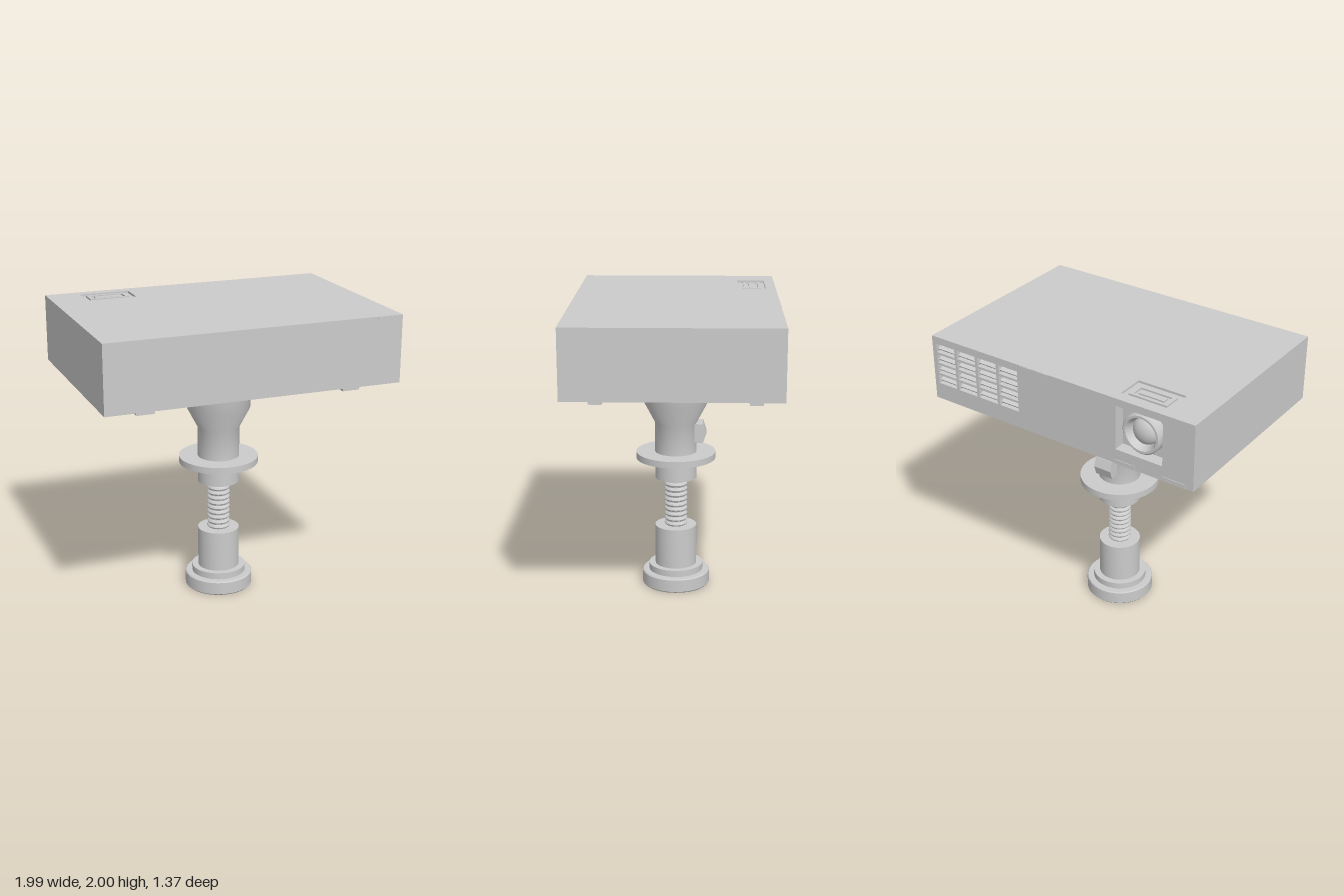
import * as THREE from 'three';
import { toCreasedNormals } from 'three/addons/utils/BufferGeometryUtils.js';

const grey = new THREE.MeshStandardMaterial({ color: 0xcccccc });

function add(parent, name, geometry, x = 0, y = 0, z = 0) {
  const mesh = new THREE.Mesh(geometry, grey);
  mesh.name = name;
  mesh.position.set(x, y, z);
  parent.add(mesh);
  return mesh;
}

// Box given by its limits on each axis
function block(parent, name, [x0, x1], [y0, y1], [z0, z1]) {
  return add(parent, name, new THREE.BoxGeometry(x1 - x0, y1 - y0, z1 - z0),
    (x0 + x1) / 2, (y0 + y1) / 2, (z0 + z1) / 2);
}

function turned(points, segments = 48) {
  const profile = points.map(([r, y]) => new THREE.Vector2(r, y));
  return toCreasedNormals(new THREE.LatheGeometry(profile, segments), 0.5);
}

function rect(Type, x0, x1, y0, y1) {
  const p = new Type();
  p.moveTo(x0, y0);
  p.lineTo(x1, y0);
  p.lineTo(x1, y1);
  p.lineTo(x0, y1);
  p.closePath();
  return p;
}

// Flat plate with rectangular openings, extruded along +z
function plate(outer, holes, depth) {
  const shape = rect(THREE.Shape, ...outer);
  holes.forEach((h) => shape.holes.push(rect(THREE.Path, ...h)));
  return new THREE.ExtrudeGeometry(shape, { depth, bevelEnabled: false });
}

const W = 0.993, D = 0.68, BOTTOM = 1.55, TOP = 2, SKIN = 0.015, RECESS = 0.08;

function createBody() {
  const body = new THREE.Group();
  body.name = 'projectorBody';
  block(body, 'bodyCore', [-W, W], [BOTTOM, TOP - SKIN], [-D + RECESS, D]);

  // Vent openings: four columns by four rows
  const vents = [];
  for (let c = 0; c < 4; c++) {
    for (let r = 0; r < 4; r++) {
      const x = 0.3 + c * 0.17, y = 1.665 + r * 0.075;
      vents.push([x, x + 0.15, y, y + 0.06]);
    }
  }
  const lensOpening = [-0.775, -0.44, 1.65, 1.95];
  add(body, 'backPanel', plate([-W, W, BOTTOM, TOP - SKIN], [lensOpening, ...vents], RECESS), 0, 0, -D);

  // Sloping louvres inside the vents
  for (const [x0, x1, y0, y1] of vents) {
    const louvre = block(body, 'ventLouvre', [x0, x1], [(y0 + y1) / 2 - 0.005, (y0 + y1) / 2 + 0.005], [-D + 0.012, -D + 0.07]);
    louvre.rotation.x = -0.5;
    block(body, 'ventBacking', [x0, x1], [y0, y1], [-D + 0.05, -D + 0.06]);
  }

  // Top skin with the recessed control panel
  const skin = plate([-W, W, -D, D], [[-0.77, -0.43, 0.42, 0.61]], SKIN);
  skin.rotateX(-Math.PI / 2);
  add(body, 'topPanel', skin, 0, TOP - SKIN, 0);
  const controlFrame = plate([-0.735, -0.465, 0.46, 0.58], [[-0.71, -0.49, 0.48, 0.56]], 0.012);
  controlFrame.rotateX(-Math.PI / 2);
  add(body, 'controlFrame', controlFrame, 0, TOP - SKIN, 0);
  block(body, 'controlSlider', [-0.69, -0.51], [TOP - SKIN, TOP - 0.005], [-0.54, -0.5]);

  // Small windows and trim strips
  block(body, 'sensorWindow', [-0.58, -0.44], [1.55, 1.58], [-D - 0.004, -D]);
  block(body, 'sensorWindow', [-0.94, -0.78], [1.55, 1.58], [-D - 0.004, -D]);
  block(body, 'backTrim', [0.06, 0.28], [1.985, 1.998], [-D - 0.003, -D]);
  block(body, 'frontTrim', [0.82, 0.9], [1.985, 1.998], [D, D + 0.003]);

  // Feet
  for (const x of [-0.685, 0.725]) {
    for (const z of [-0.515, 0.48]) {
      block(body, 'foot', [x - 0.06, x + 0.06], [1.48, BOTTOM], [z - 0.043, z + 0.043]);
    }
  }

  // Lens barrel and domed glass, facing the back
  const lens = new THREE.Group();
  lens.name = 'lens';
  add(lens, 'lensBarrel', turned([[0.135, 0], [0.135, 0.055], [0.125, 0.065], [0.11, 0.065], [0.092, 0.03], [0.092, 0]]));
  add(lens, 'lensGlass', new THREE.SphereGeometry(0.09, 32, 10, 0, Math.PI * 2, 0, Math.PI / 2)).scale.y = 0.65;
  lens.rotation.x = -Math.PI / 2;
  lens.position.set(-0.61, 1.8, -D + RECESS);
  body.add(lens);
  return body;
}

function createStand() {
  const stand = new THREE.Group();
  stand.name = 'stand';
  add(stand, 'base', turned([
    [0, 0], [0.225, 0], [0.232, 0.008], [0.232, 0.092], [0.225, 0.1], [0.185, 0.1],
    [0.185, 0.145], [0.142, 0.145], [0.142, 0.425], [0, 0.425]]));

  // Ridged screw shaft
  const ridges = 10, y0 = 0.42, step = 0.355 / ridges, screw = [];
  for (let i = 0; i < ridges; i++) {
    for (const [r, t] of [[0.066, 0], [0.066, 0.15], [0.075, 0.3], [0.079, 0.55], [0.075, 0.8]]) {
      screw.push([r, y0 + (i + t) * step]);
    }
  }
  screw.push([0.066, y0 + 0.355]);
  add(stand, 'screwShaft', turned(screw, 32));

  add(stand, 'flangedCollar', turned([
    [0, 0.77], [0.142, 0.77], [0.142, 0.91], [0.27, 0.91], [0.27, 0.955], [0.142, 0.955],
    [0.142, 1.16], [0.215, 1.3], [0.215, BOTTOM]]));

  // Wedge-shaped clamp lever on the back of the collar
  const wedge = new THREE.Shape([[-0.1, 1.03], [0.185, 1.03], [0.207, 1.095], [0.185, 1.16], [-0.1, 1.16]]
    .map(([z, y]) => new THREE.Vector2(Math.max(z, 0.1), y)));
  const lever = new THREE.ExtrudeGeometry(wedge, { depth: 0.13, bevelEnabled: false });
  lever.translate(0, 0, -0.065);
  lever.rotateY(Math.PI / 2);
  add(stand, 'clampLever', lever);
  return stand;
}

export function createModel() {
  const model = new THREE.Group();
  model.name = 'projectorOnStand';
  model.add(createBody(), createStand());
  return model;
}
